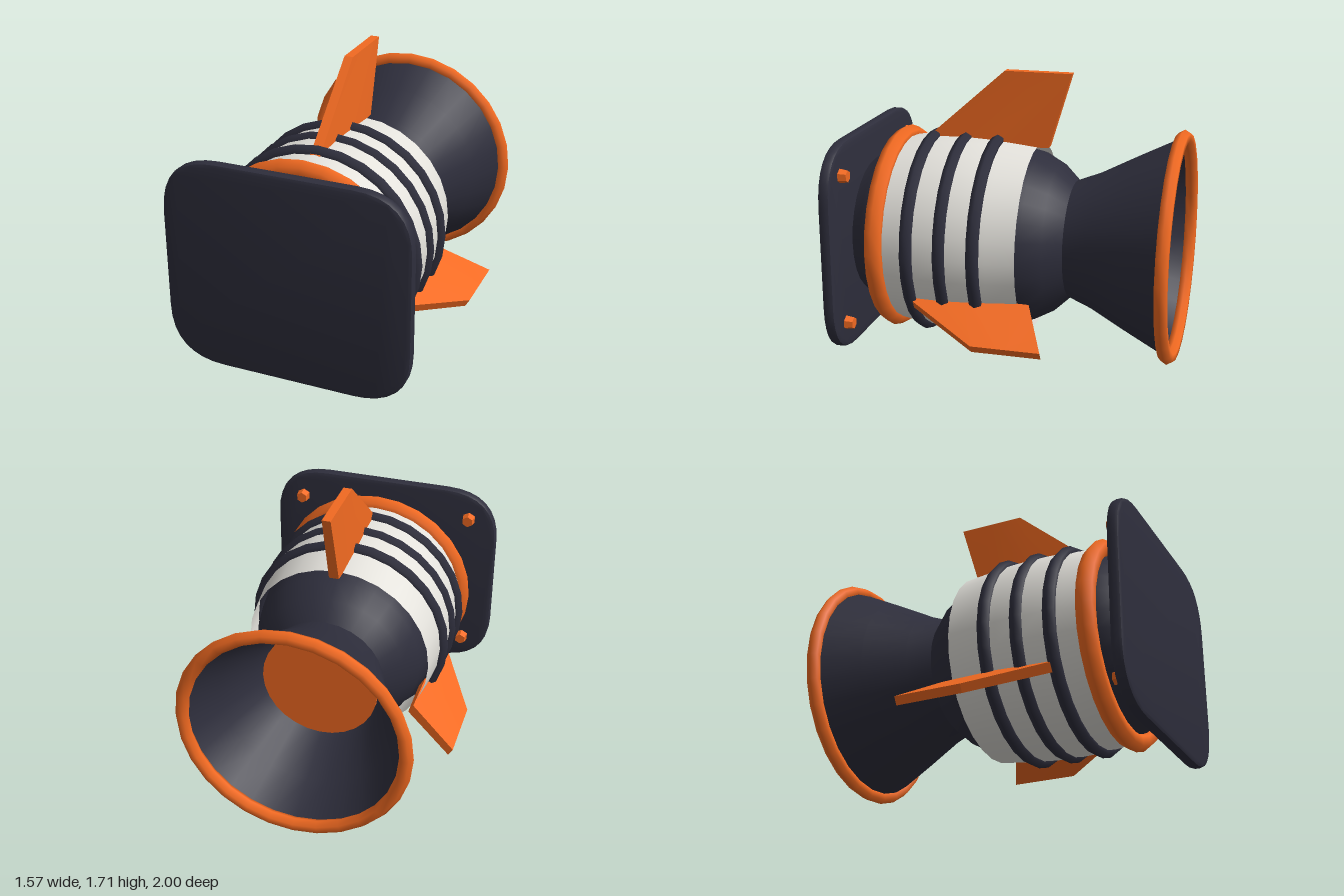
import * as THREE from 'three';
import { toCreasedNormals } from 'three/addons/utils/BufferGeometryUtils.js';

const SEG = 28;
const dark = new THREE.MeshStandardMaterial({ color: 0x2e2e3c, side: THREE.DoubleSide });
const orange = new THREE.MeshStandardMaterial({ color: 0xf26a21 });
const white = new THREE.MeshStandardMaterial({ color: 0xe4e2dc, side: THREE.DoubleSide });

export function createModel() {
  const model = new THREE.Group();
  model.name = 'thruster';
  // everything is built around the z axis, then raised to stand on the ground
  const core = new THREE.Group();
  core.name = 'core';
  core.position.y = 0.7;
  model.add(core);

  const add = (name, geometry, material, x = 0, y = 0, z = 0) => {
    const mesh = new THREE.Mesh(geometry, material);
    mesh.name = name;
    mesh.position.set(x, y, z);
    core.add(mesh);
    return mesh;
  };

  // profile points are [radius, z], listed from back to front
  const lathe = (name, profile, material) => {
    const g = new THREE.LatheGeometry(profile.map(([r, z]) => new THREE.Vector2(r, z)), SEG);
    g.rotateX(Math.PI / 2);
    return add(name, toCreasedNormals(g, 0.6), material);
  };
  const ring = (name, radius, tube, z, material) =>
    add(name, new THREE.TorusGeometry(radius, tube, 6, SEG), material, 0, 0, z);

  // rounded engine body
  lathe('body', [
    [0, -0.34], [0.355, -0.34], [0.45, -0.24], [0.515, -0.12], [0.55, 0.05], [0.565, 0.3],
    [0.555, 0.6], [0.52, 0.78], [0.455, 0.87], [0.41, 0.94],
  ], dark);

  // pale outer shell, open at both ends
  lathe('shell', [
    [0.565, -0.11], [0.585, 0.06], [0.598, 0.2], [0.602, 0.33], [0.597, 0.47], [0.585, 0.6], [0.562, 0.74],
  ], white);

  // flared exhaust bell with rim and glowing disc
  lathe('exhaustBell', [
    [0.655, -0.96], [0.53, -0.71], [0.41, -0.48], [0.355, -0.34],
  ], dark);
  ring('exhaustRim', 0.655, 0.041, -0.96, orange);
  const glow = new THREE.CylinderGeometry(0.35, 0.35, 0.02, SEG).rotateX(Math.PI / 2);
  add('exhaustGlow', glow, orange, 0, 0, -0.46);

  // collar and bands around the shell
  ring('frontCollar', 0.57, 0.057, 0.735, orange);
  for (const z of [0.53, 0.33, 0.13]) ring('band', 0.59, 0.041, z, dark);

  // mounting plate with soft corners
  const b = 0.02, w = 0.74 - b, h = 0.637 - b, cx = 0.4, cy = 0.3;
  const outline = new THREE.Shape();
  outline.moveTo(w, -cy);
  outline.lineTo(w, cy);
  outline.quadraticCurveTo(w, h, cx, h);
  outline.lineTo(-cx, h);
  outline.quadraticCurveTo(-w, h, -w, cy);
  outline.lineTo(-w, -cy);
  outline.quadraticCurveTo(-w, -h, -cx, -h);
  outline.lineTo(cx, -h);
  outline.quadraticCurveTo(w, -h, w, -cy);
  const plate = new THREE.ExtrudeGeometry(outline, {
    depth: 0.07 - 2 * b, bevelEnabled: true, bevelThickness: b, bevelSize: b, bevelSegments: 2, curveSegments: 8,
  });
  add('mountingPlate', toCreasedNormals(plate, 0.6), dark, 0, 0, 0.93 + b);

  // hexagonal bolts on the back of the plate
  for (const x of [-0.56, 0.56]) {
    for (const y of [-0.455, 0.455]) {
      const bolt = new THREE.CylinderGeometry(0.045, 0.036, 0.06, 6).rotateX(Math.PI / 2);
      add('bolt', toCreasedNormals(bolt, 0.4), orange, x, y, 0.91);
    }
  }

  // swept fins: a box reshaped so it tapers towards the tip and the edges
  const fin = (name, tip, angle) => {
    const g = new THREE.BoxGeometry(1, 1, 1, 1, 1, 2);
    const p = g.attributes.position;
    for (let i = 0; i < p.count; i++) {
      const outer = p.getY(i) > 0;
      const t = p.getZ(i) + 0.5;
      const [back, front] = outer ? [-0.315, 0.09] : [-0.18, 0.6];
      const half = outer ? 0.026 : (t === 0.5 ? 0.042 : 0.03);
      p.setXYZ(i, Math.sign(p.getX(i)) * half, outer ? tip : 0.56, back + t * (front - back));
    }
    add(name, toCreasedNormals(g, 0.3), orange).rotation.z = angle;
  };
  fin('topFin', 1.01, 0);
  fin('leftFin', 0.89, -Math.PI * 2 / 3);
  fin('rightFin', 0.89, Math.PI * 2 / 3);

  return model;
}
